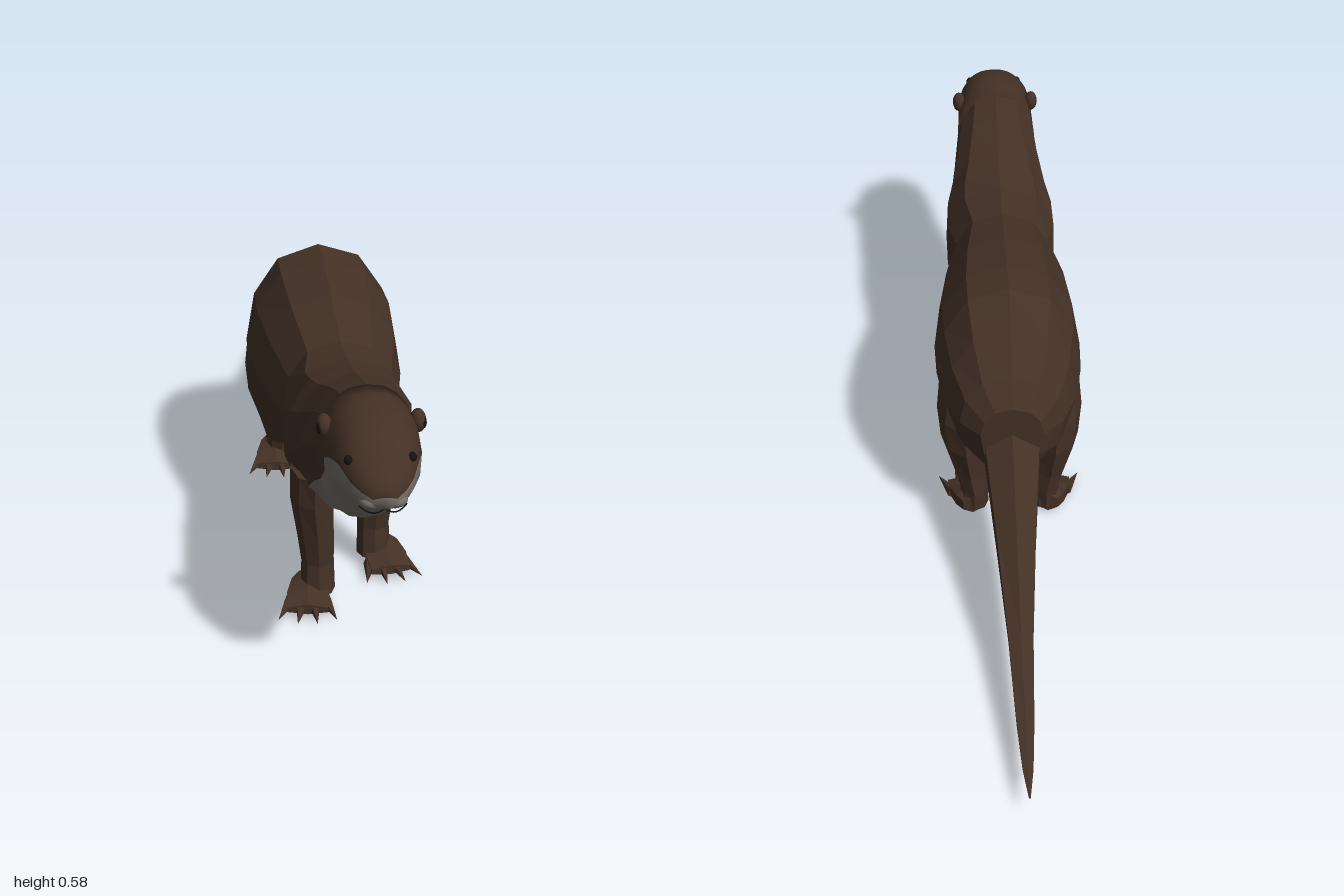
import * as THREE from 'three';

const mat = (name, color) => {
  const m = new THREE.MeshStandardMaterial({ color });
  m.name = name;
  return m;
};

// Skin a list of equal-sized point rings; accent(i, j) picks faces of the second material
function loft(name, rings, mats, { smooth = false, accent = () => false } = {}) {
  const centre = r => {
    const c = r.reduce((s, p) => s.add(p), new THREE.Vector3()).divideScalar(r.length);
    return r.map(() => c);
  };
  const all = [centre(rings[0]), ...rings, centre(rings[rings.length - 1])];
  const n = rings[0].length;
  const faces = [[], []];
  for (let i = 0; i < all.length - 1; i++) {
    for (let j = 0; j < n; j++) {
      const k = (j + 1) % n;
      const a = i * n + j, b = i * n + k, c = a + n, d = b + n;
      const out = faces[accent(i - 1, j) ? 1 : 0];
      if (i > 0) out.push(a, b, c);
      if (i < all.length - 2) out.push(b, d, c);
      if (i === 0) continue;
      if (i === all.length - 2) continue;
    }
  }
  let g = new THREE.BufferGeometry().setFromPoints(all.flat());
  g.setIndex([...faces[0], ...faces[1]]);
  g.addGroup(0, faces[0].length, 0);
  if (faces[1].length) g.addGroup(faces[0].length, faces[1].length, 1);
  if (!smooth) g = g.toNonIndexed();
  g.computeVertexNormals();
  const mesh = new THREE.Mesh(g, mats);
  mesh.name = name;
  return mesh;
}

// Upright cross-section: top, widest and bottom heights, half width, and colour line height
function section([z, top, mid, bot, w, line = mid - (mid - bot) * 0.5], up, low) {
  const edge = Math.asin(Math.min(0.98, Math.max(-0.9,
    line > mid ? (mid - line) / (top - mid) : (mid - line) / (mid - bot))));
  const angles = [];
  const start = -Math.PI / 2;
  for (let i = 0; i <= up; i++) angles.push(start + (edge - start) * i / up);
  for (let i = 1; i <= low; i++) angles.push(edge + (Math.PI / 2 - edge) * i / low);
  const half = angles.map(a => new THREE.Vector3(
    w * Math.pow(Math.max(0, Math.cos(a)), 0.85),
    mid - Math.sin(a) * (a < 0 ? top - mid : mid - bot), z));
  half[0].x = half[half.length - 1].x = 0;
  const other = half.slice(1, -1).reverse().map(p => new THREE.Vector3(-p.x, p.y, p.z));
  return [...half, ...other];
}

// Horizontal ring for limbs
const limbRing = ([x, y, z, rx, rz]) => Array.from({ length: 8 }, (_, j) => {
  const a = j / 8 * Math.PI * 2;
  return new THREE.Vector3(x - Math.sin(a) * rx, y, z + Math.cos(a) * rz);
});

export function createModel() {
  const brown = mat('brown fur', 0x443126);
  const grey = mat('grey throat fur', 0x77716a);
  const russet = mat('russet nose', 0x4c2e1d);
  const dark = mat('dark eye', 0x17110e);
  const fur = [brown, grey];
  const model = new THREE.Group();
  model.name = 'otter';

  const ball = (name, material, p, s) => {
    const m = new THREE.Mesh(new THREE.SphereGeometry(1, 14, 10), material);
    m.name = name;
    m.position.set(...p);
    m.scale.set(...s);
    model.add(m);
  };

  // Head, smooth, with pale cheeks and chin
  const neck = [0.755, 0.582, 0.46, 0.3, 0.093, 0.39];
  const head = [
    [1.0, 0.493, 0.473, 0.455, 0.022, 0.475],
    [0.985, 0.511, 0.475, 0.445, 0.042, 0.483],
    [0.96, 0.531, 0.48, 0.437, 0.059, 0.492],
    [0.92, 0.562, 0.485, 0.428, 0.076, 0.507],
    [0.88, 0.579, 0.49, 0.415, 0.085, 0.5],
    [0.83, 0.587, 0.49, 0.385, 0.089, 0.475],
    [0.8, 0.587, 0.48, 0.352, 0.09, 0.43],
    neck,
  ];
  const pale = (j, up, low) => j >= up && j < up + 2 * low;
  model.add(loft('head', head.map(s => section(s, 7, 4)), fur,
    { smooth: true, accent: (i, j) => pale(j, 7, 4) }));

  // Faceted body with pale chest
  const body = [
    neck,
    [0.68, 0.56, 0.43, 0.262, 0.102, 0.345],
    [0.585, 0.526, 0.39, 0.227, 0.117, 0.28],
    [0.53, 0.515, 0.37, 0.2, 0.129, 0.245],
    [0.47, 0.503, 0.35, 0.165, 0.13, 0.2],
    [0.37, 0.494, 0.34, 0.155, 0.12],
    [0.22, 0.528, 0.34, 0.136, 0.148],
    [0.08, 0.548, 0.335, 0.136, 0.161],
    [-0.01, 0.548, 0.33, 0.14, 0.158],
    [-0.1, 0.5, 0.32, 0.16, 0.142],
    [-0.17, 0.43, 0.315, 0.185, 0.112],
    [-0.212, 0.378, 0.31, 0.205, 0.068],
  ];
  model.add(loft('body', body.map(s => section(s, 4, 2)), fur,
    { accent: (i, j) => i >= 0 && i < 4 && pale(j, 4, 2) }));

  // Tapering tail
  const tail = [
    [-0.13, 0.345, 0.26, 0.195, 0.07],
    [-0.21, 0.31, 0.24, 0.18, 0.065],
    [-0.4, 0.217, 0.165, 0.12, 0.046],
    [-0.62, 0.122, 0.105, 0.09, 0.029],
    [-0.82, 0.075, 0.068, 0.06, 0.02],
    [-0.93, 0.058, 0.054, 0.05, 0.012],
    [-1.0, 0.05, 0.049, 0.048, 0.002],
  ];
  model.add(loft('tail', tail.map(s => section(s, 2, 1)), fur));

  // Foot with a flat palm and four fanned toes
  function foot(side, x, heel) {
    const g = new THREE.Group();
    g.name = 'foot';
    const palm = [
      [0.1, 0.028, 0.016, 0.006, 0.046],
      [0.06, 0.046, 0.02, 0.005, 0.048],
      [0.02, 0.06, 0.025, 0.005, 0.038],
      [-0.005, 0.055, 0.03, 0.008, 0.024],
    ];
    g.add(loft('palm', palm.map(s => section(s, 2, 1)), fur));
    for (let t = 0; t < 4; t++) {
      const f = t - 1.5;
      const toe = new THREE.Mesh(
        new THREE.ConeGeometry(0.014, 0.075, 5).toNonIndexed().rotateX(Math.PI / 2), brown);
      toe.geometry.computeVertexNormals();
      toe.name = 'toe';
      toe.position.set(f * 0.031, 0.014, 0.113 - Math.abs(f) * 0.012);
      toe.rotation.set(0.08, f * 0.22, 0);
      g.add(toe);
    }
    g.position.set(x, 0, heel);
    g.rotation.y = side * 0.12;
    model.add(g);
  }

  // Legs; the right foreleg steps forward
  for (const side of [1, -1]) {
    const z = side > 0 ? 0.41 : 0.545;
    const fore = [
      [0.078, 0.3, z - 0.01, 0.042, 0.07],
      [0.078, 0.235, z - 0.005, 0.043, 0.058],
      [0.07, 0.15, z - 0.005, 0.037, 0.043],
      [0.066, 0.09, z - 0.005, 0.033, 0.034],
      [0.066, 0.025, z, 0.035, 0.036],
    ].map(([x, ...r]) => limbRing([side * x, ...r]));
    model.add(loft(side > 0 ? 'leftForeleg' : 'rightForeleg', fore, fur,
      { accent: (i, j) => side > 0 && i === 1 && (j < 2 || j === 7) }));
    foot(side, side * 0.082, z - 0.03);

    const hind = [
      [0.095, 0.36, -0.03, 0.055, 0.1],
      [0.1, 0.26, -0.04, 0.059, 0.1],
      [0.098, 0.19, -0.05, 0.054, 0.085],
      [0.088, 0.11, -0.065, 0.037, 0.052],
      [0.08, 0.06, -0.07, 0.03, 0.042],
      [0.08, 0.015, -0.07, 0.032, 0.038],
    ].map(([x, ...r]) => limbRing([side * x, ...r]));
    model.add(loft(side > 0 ? 'leftHindLeg' : 'rightHindLeg', hind, fur));
    foot(side, side * 0.085, -0.1);

    // Ears, eyes and lip pads
    ball('ear', brown, [side * 0.087, 0.533, 0.815], [0.015, 0.023, 0.02]);
    ball('innerEar', dark, [side * 0.096, 0.532, 0.822], [0.006, 0.012, 0.01]);
    ball('eye', dark, [side * 0.057, 0.522, 0.935], [0.009, 0.009, 0.01]);
    ball('lipPad', grey, [side * 0.021, 0.462, 0.975], [0.024, 0.016, 0.024]);
    // Mouth line curving under each lip pad
    const curve = new THREE.QuadraticBezierCurve3(
      new THREE.Vector3(0, 0.456, 0.998),
      new THREE.Vector3(side * 0.02, 0.436, 1.0),
      new THREE.Vector3(side * 0.043, 0.45, 0.975));
    const mouth = new THREE.Mesh(new THREE.TubeGeometry(curve, 8, 0.0015, 5), dark);
    mouth.name = 'mouth';
    model.add(mouth);
  }
  ball('nose', russet, [0, 0.484, 0.988], [0.02, 0.012, 0.012]);
  return model;
}
